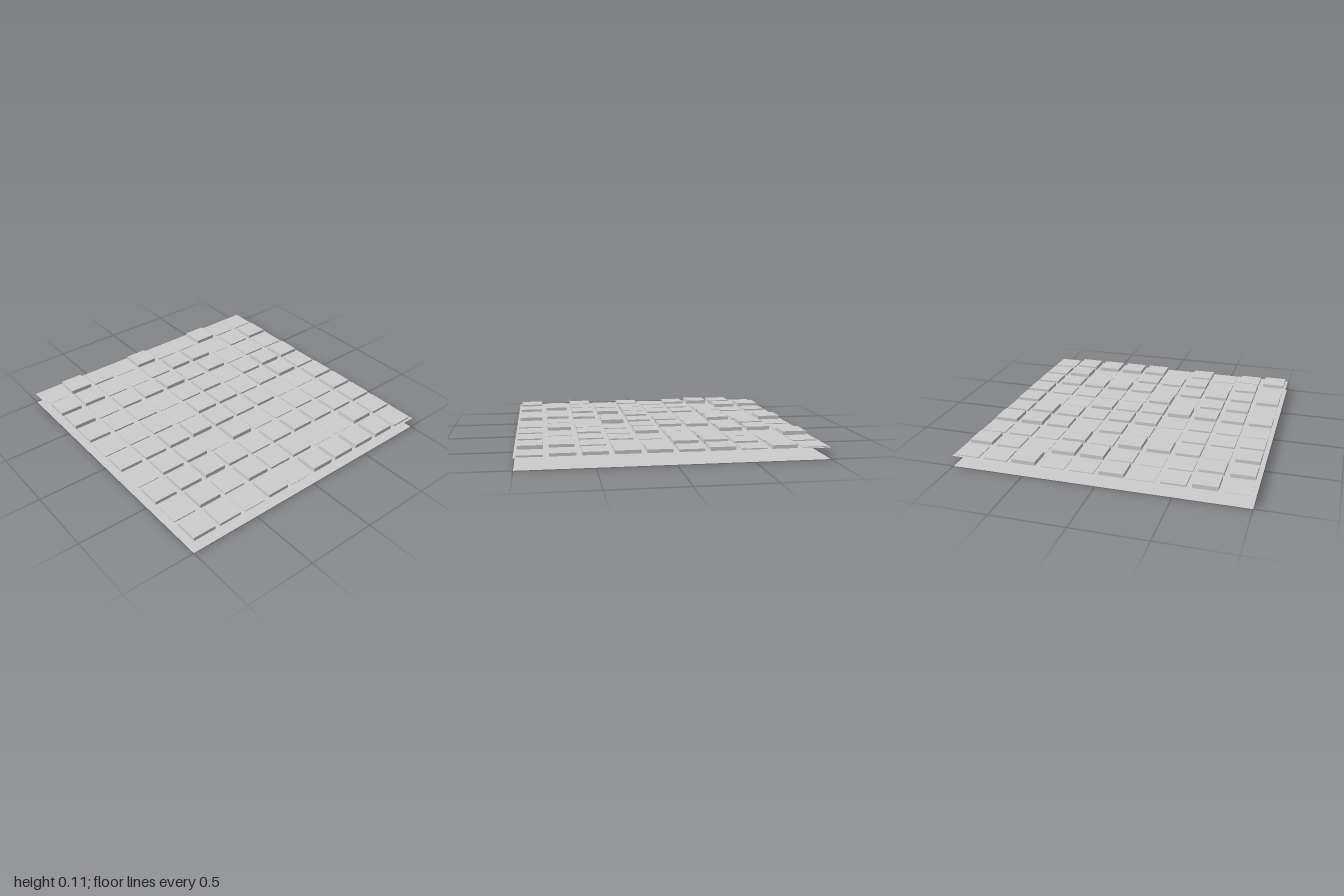
import * as THREE from 'three';

// Relief map, back row first: '#' raised tile, '+' low tile, '.' almost flush tile
const ROWS = [
  '.#+.#..#..',
  '##..+##.+#',
  '#.###+#.+.',
  '#++.+#.###',
  '..+.##+###',
  '#######..#',
  '.##.#..++#',
  '####+#####',
  '.#+###..##',
  '##.#.####+',
];
const PITCH = 0.2, TILE = 0.163, DECK_Y = 0.076;

export function createModel() {
  const group = new THREE.Group();
  group.name = 'tiledPanel';
  const grey = new THREE.MeshStandardMaterial({ color: 0xcccccc, side: THREE.DoubleSide });
  grey.name = 'light grey';

  // Two thin parallel sheets
  const sheet = new THREE.PlaneGeometry(2, 2).rotateX(-Math.PI / 2);
  for (const [name, y] of [['baseSheet', 0], ['upperSheet', DECK_Y]]) {
    const mesh = new THREE.Mesh(sheet, grey);
    mesh.name = name;
    mesh.position.y = y;
    group.add(mesh);
  }

  // Square tiles of uneven height on the upper sheet
  let seed = 7;
  const random = () => (seed = (seed * 16807) % 2147483647) / 2147483647;
  const box = new THREE.BoxGeometry(TILE, 1, TILE).translate(0, 0.5, 0);
  const tiles = new THREE.Group();
  tiles.name = 'tiles';
  ROWS.forEach((row, r) => [...row].forEach((kind, c) => {
    const t = random();
    const height = kind === '#' ? 0.016 + 0.014 * t : kind === '+' ? 0.012 : 0.002 + 0.007 * t;
    const tile = new THREE.Mesh(box, grey);
    tile.name = 'tile';
    tile.scale.y = height;
    tile.position.set((c - 4.5) * PITCH, DECK_Y, (r - 4.5) * PITCH);
    tiles.add(tile);
  }));
  group.add(tiles);
  return group;
}
